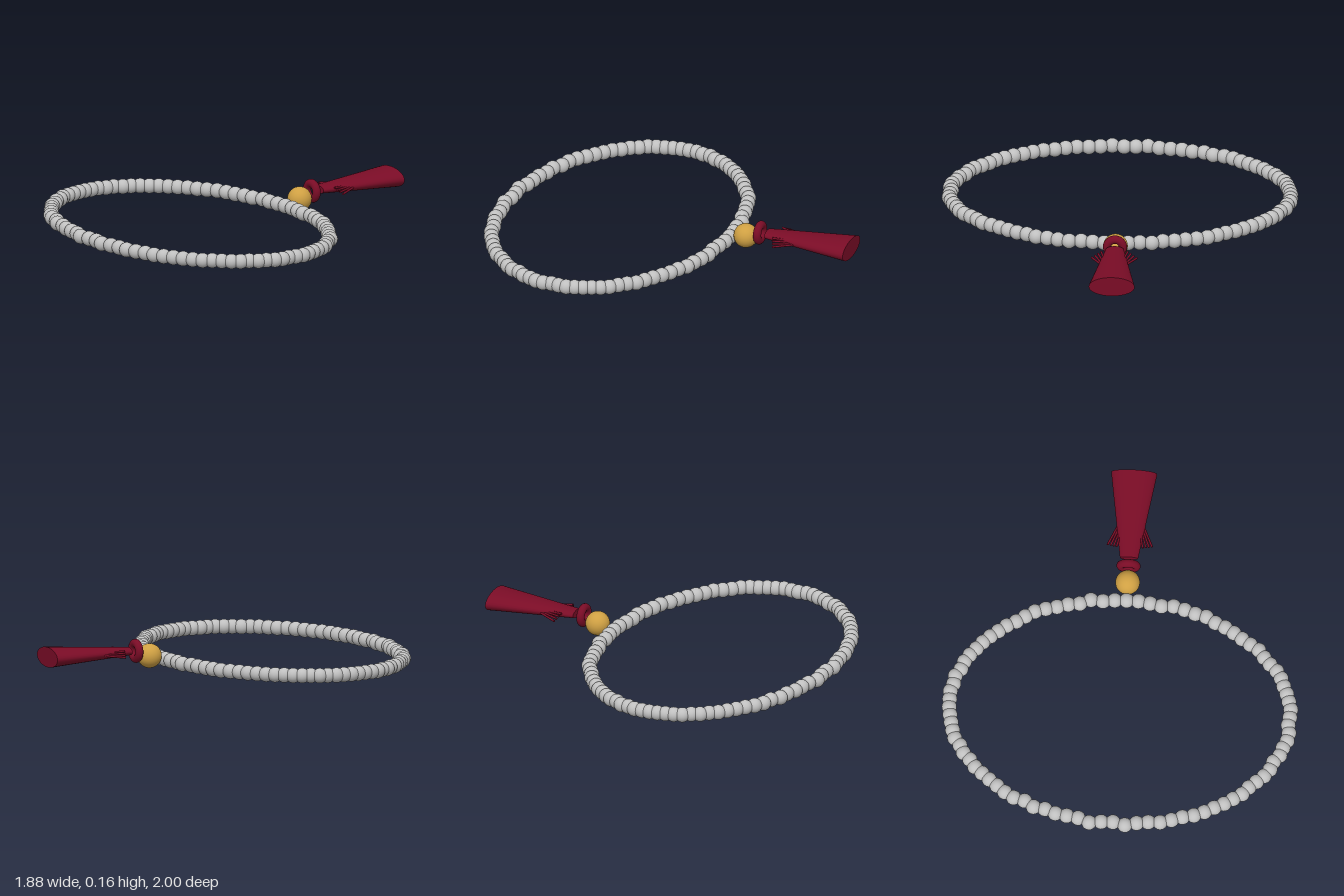
import * as THREE from 'three';

const mat = (name, color, side = THREE.FrontSide) => {
  const m = new THREE.MeshStandardMaterial({ color, side });
  m.name = name;
  return m;
};

export function createModel() {
  const root = new THREE.Group();
  root.name = 'beadStrandWithTassel';
  const silver = mat('silver', 0xc0c0c0);
  const gold = mat('gold', 0xcfa043);
  const maroon = mat('maroon', 0x7a0c26, THREE.DoubleSide);

  const add = (parent, name, geometry, material, x, y, z) => {
    const mesh = new THREE.Mesh(geometry, material);
    mesh.name = name;
    mesh.position.set(x, y, z);
    parent.add(mesh);
    return mesh;
  };

  // Seeded noise for the slightly uneven stringing
  let seed = 7;
  const random = () => (seed = (seed * 16807) % 2147483647) / 2147483647;

  // Oval loop of small round beads
  const loop = new THREE.Group();
  loop.name = 'beadLoop';
  root.add(loop);
  const beadGeometry = new THREE.SphereGeometry(0.04, 20, 14);
  const count = 90;
  for (let i = 0; i < count; i++) {
    const a = (i / count) * Math.PI * 2;
    const wobble = (random() - 0.5) * 0.016;
    add(loop, 'bead', beadGeometry, silver,
      Math.sin(a) * (0.9 + wobble), 0.044, 0.325 + Math.cos(a) * (0.628 + wobble));
  }

  // Large end bead and the knot ring behind it
  add(root, 'endBead', new THREE.SphereGeometry(0.065, 32, 24), gold, 0, 0.069, -0.397);
  add(root, 'knotRing', new THREE.TorusGeometry(0.042, 0.022, 14, 32), maroon, 0, 0.1, -0.478);

  // Flattened tassel skirt, widening toward the back
  const tassel = new THREE.Group();
  tassel.name = 'tassel';
  root.add(tassel);
  const skirt = new THREE.CylinderGeometry(0.048, 0.122, 0.48, 32);
  skirt.rotateX(Math.PI / 2);
  skirt.scale(1, 0.44, 1);
  add(tassel, 'tasselSkirt', skirt, maroon, 0, 0.102, -0.76);

  // Loose threads splaying out of each side
  const up = new THREE.Vector3(0, 1, 0);
  for (const side of [-1, 1]) {
    for (let i = 0; i < 4; i++) {
      const start = new THREE.Vector3(side * (0.05 - i * 0.006), 0.102, -0.74);
      const end = new THREE.Vector3(side * (0.118 - i * 0.016), 0.088 + i * 0.009, -0.595 + i * 0.006);
      const dir = end.clone().sub(start);
      const thread = add(tassel, 'looseThread',
        new THREE.CylinderGeometry(0.006, 0.006, dir.length(), 8), maroon,
        ...start.clone().add(end).multiplyScalar(0.5).toArray());
      thread.quaternion.setFromUnitVectors(up, dir.normalize());
    }
  }
  return root;
}
